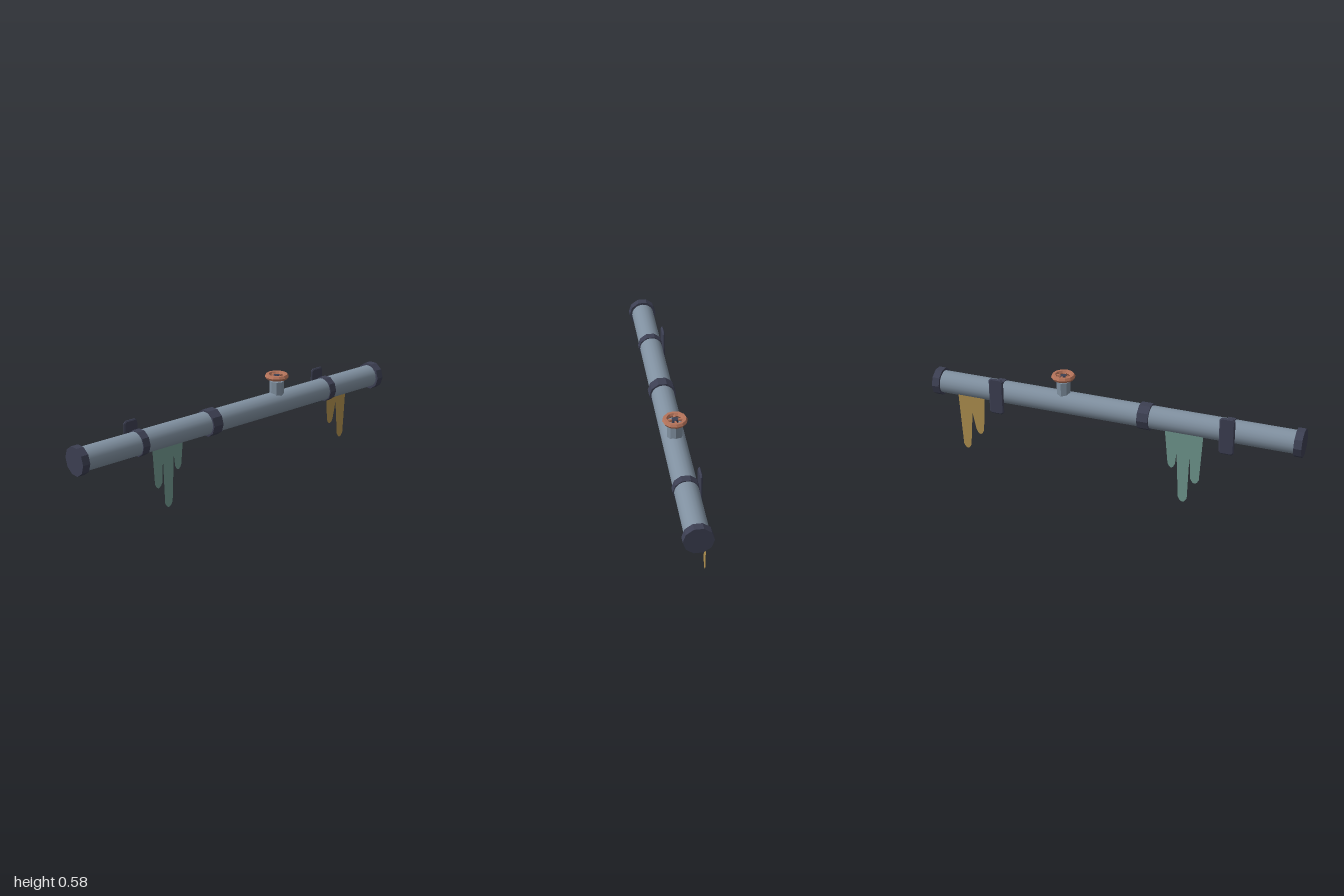
import * as THREE from 'three';

const PIPE_Y = 0.426;
const mat = (color, extra = {}) => {
  const m = new THREE.MeshStandardMaterial(extra);
  m.color.set(color);
  return m;
};

export function createModel() {
  const model = new THREE.Group();
  model.name = 'pipeWithValve';
  const steel = mat(0x8090a0);
  const steelFlat = mat(0x8090a0, { flatShading: true });
  const dark = mat(0x3c3f52, { flatShading: true });
  const copper = mat(0xb5735a, { flatShading: true });

  const add = (parent, name, geometry, material, x = 0, y = 0, z = 0) => {
    const mesh = new THREE.Mesh(geometry, material);
    mesh.name = name;
    mesh.position.set(x, y, z);
    parent.add(mesh);
    return mesh;
  };

  // Cylinder lying along x, with a corner pointing to the front
  const ring = (name, x, radius, width, sides, material) => {
    const g = new THREE.CylinderGeometry(radius, radius, width, sides).rotateZ(Math.PI / 2);
    return add(model, name, g, material, x, PIPE_Y, 0);
  };

  // Main pipe and its collars
  ring('pipe', 0, 0.06, 1.96, 20, steel);
  ring('coupling', -0.18, 0.071, 0.06, 10, dark);

  // Wall plate outline with clipped corners, bevelled all round
  const w = 0.034, h = 0.094, c = 0.008;
  const outline = new THREE.Shape([
    [-w + c, -h], [w - c, -h], [w, -h + c], [w, h - c],
    [w - c, h], [-w + c, h], [-w, h - c], [-w, -h + c],
  ].map(([x, y]) => new THREE.Vector2(x, y)));
  const plate = new THREE.ExtrudeGeometry(outline, {
    depth: 0.005, bevelEnabled: true, bevelSegments: 1, bevelSize: 0.006, bevelThickness: 0.004,
  });

  // End caps, clamps and wall plates on both sides
  for (const side of [-1, 1]) {
    ring('endCap', side * 0.98, 0.074, 0.04, 10, dark);
    ring('clamp', side * 0.625, 0.067, 0.04, 10, dark);
    add(model, 'wallPlate', plate, dark, side * 0.625, PIPE_Y, -0.07);
  }

  // Valve: octagonal body, stem and spoked hand wheel
  const valve = new THREE.Group();
  valve.name = 'valve';
  valve.position.x = 0.272;
  model.add(valve);
  add(valve, 'valveBody', new THREE.CylinderGeometry(0.038, 0.038, 0.087, 8), steelFlat, 0, 0.5035);
  add(valve, 'valveStem', new THREE.CylinderGeometry(0.017, 0.017, 0.034, 8), dark, 0, 0.562);
  const wheel = new THREE.TorusGeometry(0.049, 0.0142, 6, 12).rotateX(Math.PI / 2);
  add(valve, 'handWheel', wheel, copper, 0, 0.5725);
  for (const angle of [0, Math.PI / 2]) {
    const spoke = add(valve, 'wheelSpoke', new THREE.BoxGeometry(0.09, 0.01, 0.011), copper, 0, 0.5725);
    spoke.rotation.y = angle;
  }

  // Flat drips behind the pipe; each finger is [tip x, tip y, half width, next corner x, next corner y]
  const drips = (name, color, left, fingers) => {
    const top = 0.395;
    const s = new THREE.Shape();
    s.moveTo(left, top);
    for (const [x, y, r, nx, ny] of fingers) {
      s.lineTo(x - r, y + 0.025);
      s.quadraticCurveTo(x, y - 0.025, x + r, y + 0.025);
      s.lineTo(nx, ny);
    }
    s.closePath();
    add(model, name, new THREE.ShapeGeometry(s, 6), mat(color, { side: THREE.DoubleSide }), 0, 0, -0.063);
  };
  drips('greenDrips', 0x70988f, -0.503, [
    [-0.465, 0.12, 0.023, -0.435, 0.28],
    [-0.403, 0, 0.024, -0.366, 0.28],
    [-0.339, 0.19, 0.02, -0.302, 0.395],
  ]);
  drips('ochreDrips', 0xb0904f, 0.697, [
    [0.732, 0.18, 0.022, 0.773, 0.3],
    [0.812, 0.08, 0.022, 0.85, 0.395],
  ]);

  return model;
}
